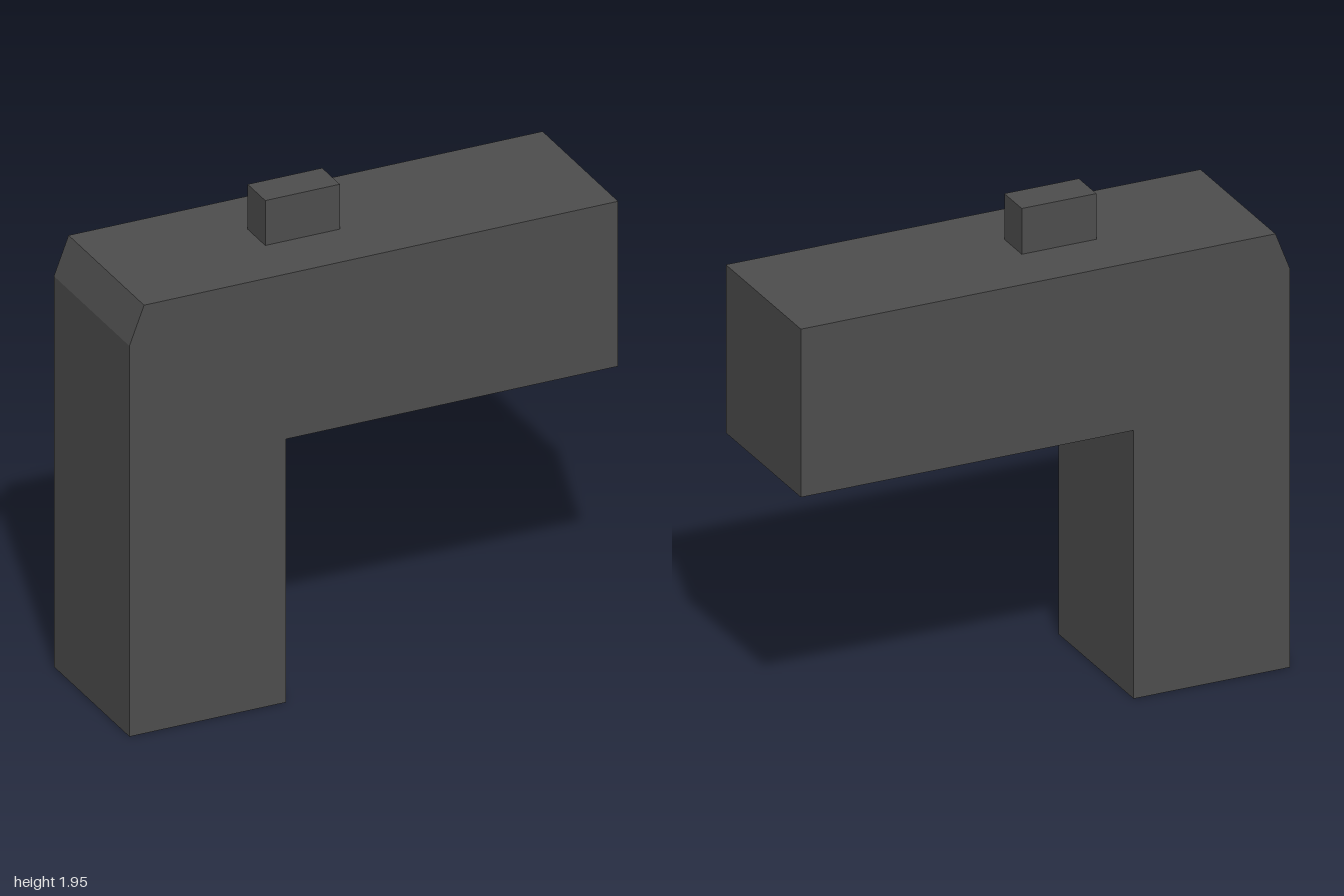
import * as THREE from 'three';

export function createModel() {
  const group = new THREE.Group();
  const darkGrey = new THREE.MeshStandardMaterial({ color: 0x4d4d4d });
  darkGrey.name = 'dark grey';

  // L-shaped body: upright leg and long arm with a chamfered rear corner
  const depth = 0.635;
  const outline = new THREE.Shape([
    [-1, 0], [-0.36, 0], [-0.36, 1.085], [1, 1.085],
    [1, 1.765], [-0.94, 1.765], [-1, 1.61],
  ].map(([x, y]) => new THREE.Vector2(x, y)));
  const bodyGeometry = new THREE.ExtrudeGeometry(outline, { depth, bevelEnabled: false });
  bodyGeometry.translate(0, 0, -depth / 2);
  const body = new THREE.Mesh(bodyGeometry, darkGrey);
  body.name = 'body';
  group.add(body);

  // Small block standing on the arm
  const block = new THREE.Mesh(new THREE.BoxGeometry(0.305, 0.185, 0.148), darkGrey);
  block.name = 'topBlock';
  block.position.set(-0.173, 1.8575, 0);
  group.add(block);

  return group;
}
